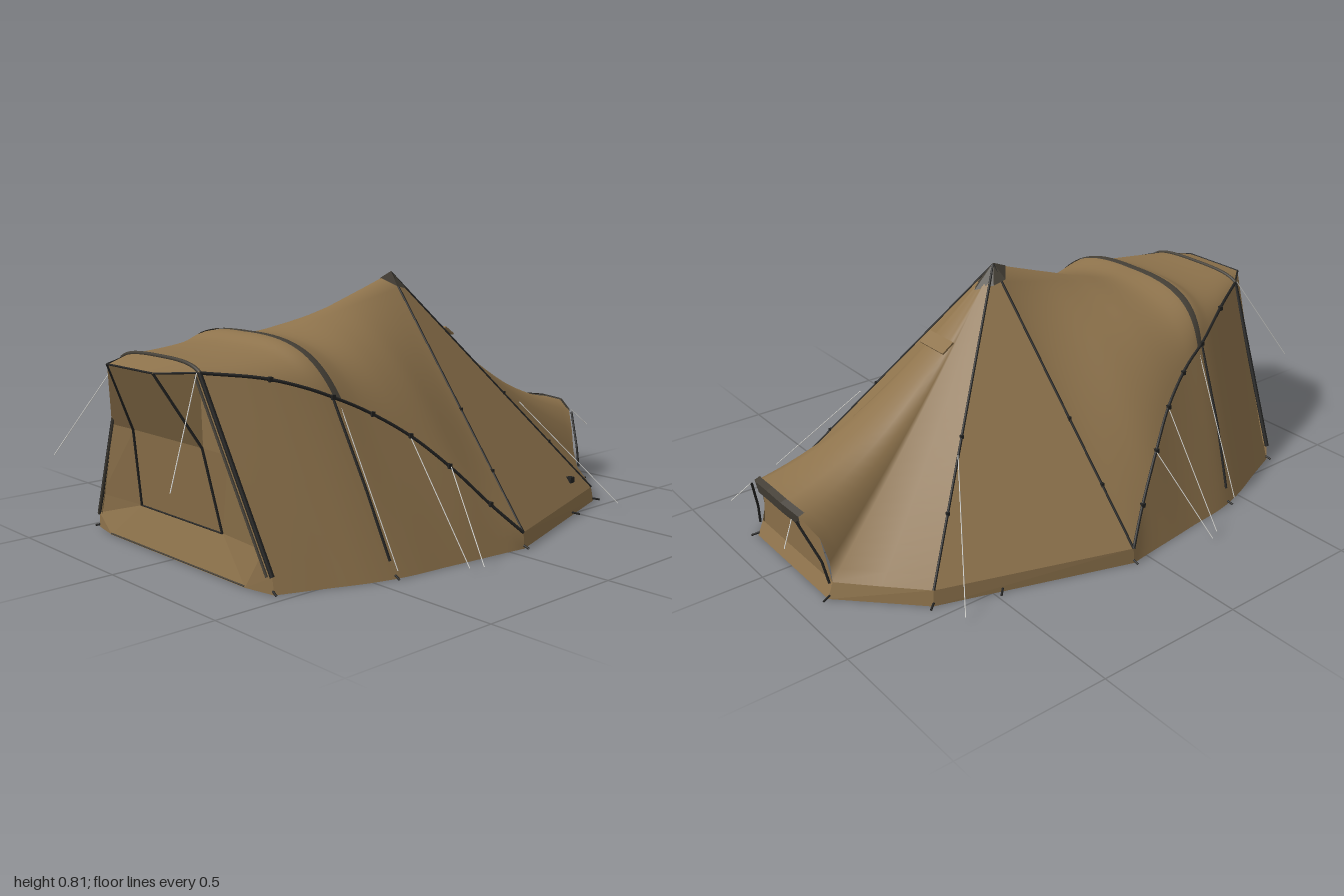
import * as THREE from 'three';

const mat = (name, color) => {
  const m = new THREE.MeshStandardMaterial({ color, side: THREE.DoubleSide });
  m.name = name;
  return m;
};
const V = (x, y, z) => new THREE.Vector3(x, y, z);
const flip = (p, s) => V(p.x * s, p.y, p.z);

export function createModel() {
  const tent = new THREE.Group();
  tent.name = 'tent';
  const canvas = mat('brown canvas', 0x8e734c);
  const trim = mat('black trim', 0x232322);
  const webbing = mat('dark webbing', 0x443f36);
  const rope = mat('pale rope', 0xd2d2ce);

  const add = (name, geo, m) => {
    const mesh = new THREE.Mesh(geo, m);
    mesh.name = name;
    tent.add(mesh);
    return mesh;
  };

  // Sheet of cloth stretched over equal-length rows of points
  const sheet = (name, rows, m = canvas, flat = false) => {
    const w = rows[0].length, index = [];
    for (let i = 0; i < rows.length - 1; i++)
      for (let j = 0; j < w - 1; j++) {
        const a = i * w + j, b = a + w;
        index.push(a, b, a + 1, b, b + 1, a + 1);
      }
    let geo = new THREE.BufferGeometry().setFromPoints(rows.flat());
    geo.setIndex(index);
    if (flat) geo = geo.toNonIndexed();
    geo.computeVertexNormals();
    return add(name, geo, m);
  };

  // Tube along straight pieces or a smooth curve
  const cord = (name, pts, r, m = trim, smooth = false) => {
    let path;
    if (smooth) path = new THREE.CatmullRomCurve3(pts);
    else {
      path = new THREE.CurvePath();
      for (let i = 0; i < pts.length - 1; i++) path.add(new THREE.LineCurve3(pts[i], pts[i + 1]));
    }
    const n = smooth ? 40 : pts.length === 2 ? 1 : 24;
    return add(name, new THREE.TubeGeometry(path, n, r, 16), m);
  };

  const peak = V(0, 0.81, -0.11);

  // Side seam, ridge and ground line, matched station by station from middle to front
  const seamPts = [[0.64, 0.05, -0.06], [0.583, 0.14, 0.025], [0.52, 0.262, 0.135], [0.455, 0.37, 0.25], [0.4, 0.455, 0.38],
    [0.37, 0.503, 0.48], [0.34, 0.533, 0.55], [0.285, 0.567, 0.66], [0.2, 0.59, 0.82]].map(p => V(...p));
  const ridgePts = [[0.81, -0.11], [0.772, 0], [0.732, 0.12], [0.69, 0.25], [0.652, 0.4],
    [0.66, 0.52], [0.636, 0.58], [0.62, 0.69], [0.615, 0.82]].map(p => V(0, ...p));
  const footPts = [[0.645, -0.06], [0.633, 0.03], [0.62, 0.14], [0.606, 0.25], [0.595, 0.36],
    [0.582, 0.43], [0.555, 0.52], [0.51, 0.63], [0.455, 0.77]].map(p => V(p[0], 0, p[1]));
  const seam = new THREE.CatmullRomCurve3(seamPts);
  const ridge = new THREE.CatmullRomCurve3(ridgePts);
  const foot = new THREE.CatmullRomCurve3(footPts);

  // Roof cross-section: straight-sided at the peak, a rounded arch at the hoops
  const roofRow = (t, lift = 0) => {
    const e = seam.getPoint(t), c = ridge.getPoint(t), h = c.y - e.y, d = c.z - e.z;
    const k = Math.min(1, t / 0.6) ** 1.3;
    const mix = (a, b) => a + (b - a) * k;
    const half = new THREE.CubicBezierCurve3(e,
      V(e.x * mix(2 / 3, 0.84), e.y + h * mix(1 / 3, 0.78), e.z + d * mix(1 / 3, 0.75)),
      V(e.x * mix(1 / 3, 0.6), e.y + h * mix(2 / 3, 1.03), e.z + d * mix(2 / 3, 1)), c).getPoints(16);
    const row = [...half, ...half.slice(0, -1).reverse().map(p => flip(p, -1))];
    return row.map(p => V(p.x * (1 + lift), p.y + lift, p.z));
  };
  const roof = [];
  for (let i = 0; i <= 40; i++) roof.push(roofRow(i / 40));
  sheet('frontRoof', roof);

  // Awning running out from the front hoop to a straight lip
  const last = roof[40];
  const lip = last.map(p => V(p.x * 0.6, 0.59, 0.92));
  sheet('awning', [last, last.map((p, i) => p.clone().lerp(lip[i], 0.5)), lip]);

  // Flat tape over the middle hoop, thin piping over the front hoop
  sheet('middleHoop', [roofRow(0.59, 0.003), roofRow(0.606, 0.004), roofRow(0.622, 0.003)], webbing);
  cord('frontHoop', roofRow(1, 0.002), 0.006, webbing, true);

  // Rear end line: corner, back corner, then up and over the vent arch
  const rearHalf = [[0.44, 0.05, -0.67, 0], [0.33, 0.05, -0.777, 0.015], [0.22, 0.05, -0.88, 0.02],
    [0.203, 0.11, -0.876, 0.035], [0.182, 0.185, -0.89, 0.055], [0.138, 0.25, -0.927, 0.085],
    [0.08, 0.28, -0.952, 0.1], [0, 0.285, -0.955, 0.1]];
  const rear = [...rearHalf, ...rearHalf.slice(0, -1).reverse().map(([x, y, z, s]) => [-x, y, z, s])];
  const rearRows = [];
  for (let i = 0; i <= 24; i++) {
    const v = i / 24;
    rearRows.push(rear.map(([x, y, z, s]) => {
      const p = peak.clone().lerp(V(x, y, z), v);
      p.y -= s * 4 * v * (1 - v);
      return p;
    }));
  }
  sheet('rearRoof', rearRows);

  // Vent: hood over a recessed wall
  const arch = rear.slice(2, 13).map(p => V(p[0], p[1], p[2]));
  const hood = arch.slice(3, 8);
  sheet('ventHood', [hood.map(p => V(p.x, p.y + 0.011, p.z + 0.016)), hood.map(p => V(p.x, p.y + 0.004, p.z - 0.004)),
    hood.map(p => V(p.x * 0.95, p.y - 0.035, p.z + 0.003))], webbing, true);
  sheet('ventWall', [arch.map(p => V(p.x * 0.97, p.y - 0.008, -0.872 - p.y * 0.08)),
    arch.map(p => V(p.x * 0.97, 0.04, -0.876))]);
  const backEdge = [V(-0.22, 0.05, -0.88), V(0.22, 0.05, -0.88)];
  sheet('backValance', [backEdge, backEdge.map(p => V(p.x * 1.008, 0, -0.9))]);

  for (const s of [1, -1]) {
    const side = s > 0 ? 'left' : 'right';
    const corner = V(0.64 * s, 0.05, -0.06), back = V(0.44 * s, 0.05, -0.67);
    // Flat panel between the middle and rear corners
    sheet(side + 'RearPanel', [[peak, peak], [corner, back]], canvas, true);

    // Wall below the side seam, down to the ground
    const wall = [];
    for (let i = 0; i <= 32; i++) {
      const a = flip(seam.getPoint(i / 32), s), b = flip(foot.getPoint(i / 32), s);
      wall.push([0, 0.25, 0.5, 0.75, 1].map(v => a.clone().lerp(b, v)));
    }
    sheet(side + 'Wall', wall);

    // Upright strip of cloth along the ground behind the middle corner
    sheet(side + 'Valance', [[V(0.22 * s, 0.05, -0.88), back, corner],
      [V(0.222 * s, 0, -0.9), V(0.445 * s, 0, -0.678), V(0.645 * s, 0, -0.06)]], canvas, true);

    // Seams and poles
    cord(side + 'SideSeam', seamPts.map(p => flip(p, s)), 0.005, trim, true);
    cord(side + 'AwningSeam', [flip(seamPts[8], s), V(0.12 * s, 0.59, 0.92)], 0.003);
    cord(side + 'PeakSeam', [peak, corner], 0.004);
    cord(side + 'RearSeam', [peak, back], 0.004);
    cord(side + 'HoopLeg', [flip(seamPts[5], s), V(0.487 * s, 0.25, 0.458), V(0.564 * s, 0.05, 0.437)], 0.004);
    cord(side + 'FrontPole', [flip(seamPts[8], s), V(0.45 * s, 0.05, 0.772)], 0.007);
    cord(side + 'FrontPoleSleeve', [V(0.19 * s, 0.58, 0.828), V(0.438 * s, 0.05, 0.782)], 0.004, webbing);
    cord(side + 'DoorSeam', [V(0.12 * s, 0.59, 0.92), V(0.18 * s, 0.37, 0.803), V(0.21 * s, 0.12, 0.762)], 0.004);
    cord(side + 'VentPole', [V(0.218 * s, 0.05, -0.89), V(0.2 * s, 0.12, -0.9), V(0.14 * s, 0.242, -0.94)], 0.004);

    // Clips along the seams
    for (const t of [0.13, 0.26, 0.375, 0.48, 0.625, 0.86]) {
      const clip = add(side + 'Clip', new THREE.BoxGeometry(0.014, 0.014, 0.014), trim);
      clip.position.copy(flip(seam.getPoint(t), s));
    }
    for (const target of [corner, back])
      for (const v of [0.55, 0.78]) {
        const clip = add(side + 'Clip', new THREE.BoxGeometry(0.01, 0.012, 0.01), trim);
        clip.position.copy(peak).lerp(target, v);
      }

    // Guy ropes
    const ropes = [
      [0.2, 0.59, 0.83, 0.31, 0.3, 1], [0.52, 0.27, 0.14, 0.72, 0.02, 0.21], [0.455, 0.37, 0.25, 0.7, 0.02, 0.25],
      [0.38, 0.48, 0.46, 0.6, 0.03, 0.44], [0.28, 0.36, -0.46, 0.57, 0.02, -0.65], [0.13, 0.25, -0.95, 0.17, 0.19, -1]];
    for (const [a, b, c, d, e, f] of ropes)
      cord(side + 'GuyRope', [V(a * s, b, c), V(d * s, e, f)], 0.0015, rope);

    // Pegs at the ground corners
    for (const [x, z, dx, dz] of [[0.45, 0.77, 0.02, 0.005], [0.58, 0.43, 0.02, 0.005], [0.64, -0.06, 0.022, 0],
      [0.51, -0.47, 0.02, -0.02], [0.44, -0.67, 0.02, -0.025], [0.22, -0.89, 0.01, -0.03]])
      cord(side + 'Peg', [V(x * s, 0.01, z), V((x + dx) * s, 0.004, z + dz)], 0.0035);
  }

  // Front wall: overhang under the awning, door panel, sloping skirt and side flaps
  const inner = [[0.12, 0.59, 0.92], [0.18, 0.37, 0.8], [0.21, 0.12, 0.76], [0.35, 0, 0.79], [0.35, 0, 0.79]];
  const outer = [[0.2, 0.59, 0.82], [0.302, 0.37, 0.803], [0.418, 0.12, 0.777], [0.45, 0.05, 0.772], [0.455, 0, 0.77]];
  sheet('frontWall', inner.map((p, i) => [flip(V(...outer[i]), -1), flip(V(...p), -1), V(...p), V(...outer[i])]),
    canvas, true);
  cord('doorSill', [V(-0.21, 0.12, 0.762), V(0.21, 0.12, 0.762)], 0.0025);
  cord('awningEdge', [V(-0.12, 0.59, 0.92), V(0.12, 0.59, 0.92)], 0.003);
  cord('skirtHem', [V(-0.35, 0.004, 0.79), V(0.35, 0.004, 0.79)], 0.0025, webbing);

  // Cap over the peak
  const tip = V(0, 0.815, -0.11);
  const rim = [[0, 0.795, -0.06], [0.045, 0.768, -0.095], [0.042, 0.757, -0.14], [0, 0.74, -0.185],
    [-0.042, 0.757, -0.14], [-0.045, 0.768, -0.095], [0, 0.795, -0.06]].map(p => V(...p));
  sheet('peakCap', [rim.map(() => tip), rim], webbing, true);

  // Small vent flap on the rear slope and a cable port on the left rear panel
  const flap = add('ventFlap', new THREE.BoxGeometry(0.125, 0.006, 0.05), canvas);
  flap.position.set(0, 0.6, -0.335);
  flap.rotation.x = -0.6;
  const port = add('cablePort', new THREE.BoxGeometry(0.02, 0.02, 0.02), trim);
  port.position.set(0.447, 0.1, -0.54);
  return tent;
}
